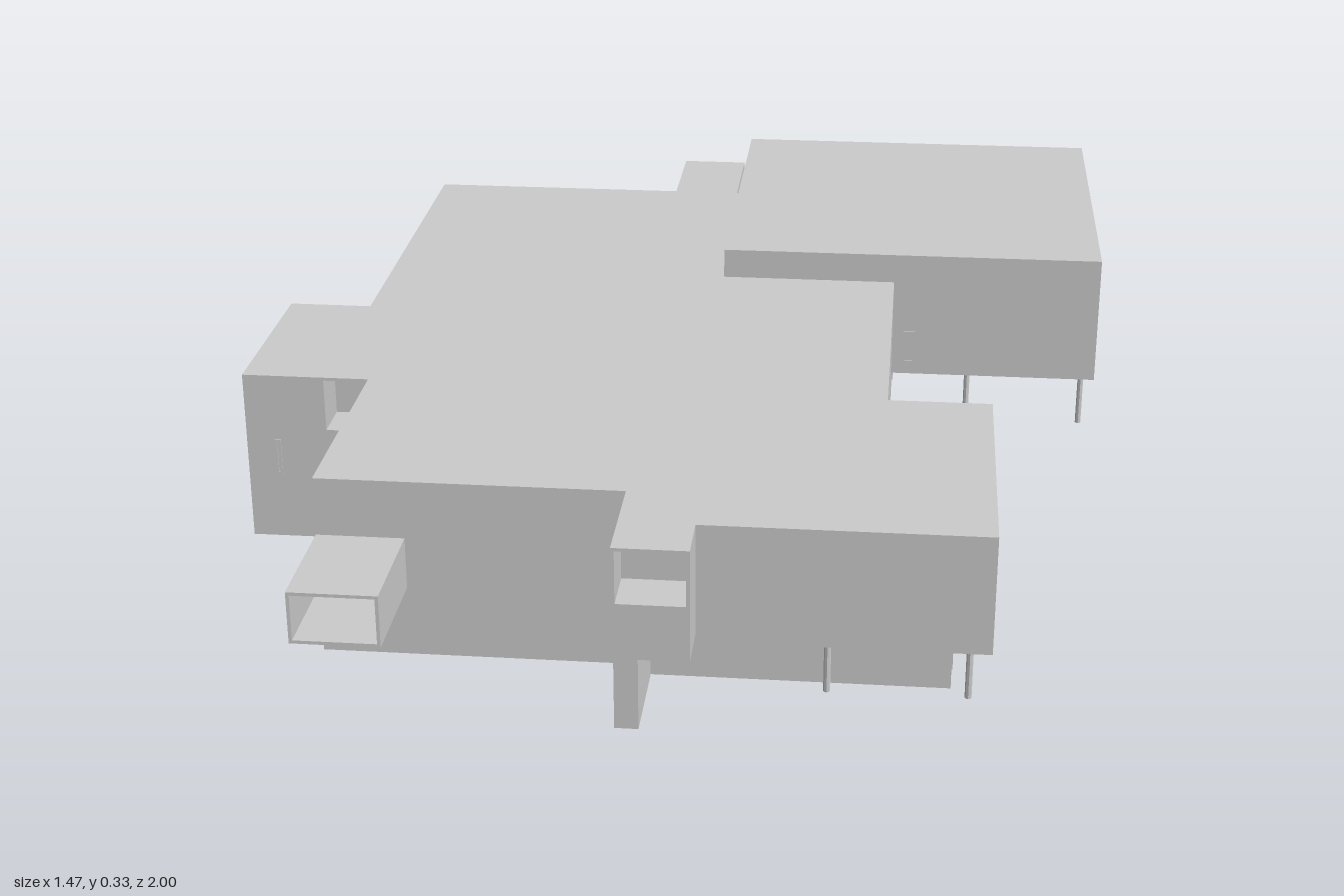
import * as THREE from 'three';

const material = new THREE.MeshStandardMaterial({ color: 0xcccccc, flatShading: true, side: THREE.DoubleSide });

export function createModel() {
  const model = new THREE.Group();
  model.name = 'building';
  // The whole plan is turned 20 degrees; parts are laid out square inside it
  const plan = new THREE.Group();
  plan.name = 'plan';
  plan.rotation.y = THREE.MathUtils.degToRad(20);
  model.add(plan);

  function add(name, geometry) {
    const mesh = new THREE.Mesh(geometry, material);
    mesh.name = name;
    plan.add(mesh);
    return mesh;
  }
  // Box given by its limits
  function box(name, x0, x1, y0, y1, z0, z1) {
    const g = new THREE.BoxGeometry(x1 - x0, y1 - y0, z1 - z0);
    g.translate((x0 + x1) / 2, (y0 + y1) / 2, (z0 + z1) / 2);
    return add(name, g);
  }
  // Storey raised from a floor outline of [x, z] corners
  function storey(name, outline, y0, y1) {
    const shape = new THREE.Shape(outline.map(([x, z]) => new THREE.Vector2(x, -z)));
    const g = new THREE.ExtrudeGeometry(shape, { depth: y1 - y0, bevelEnabled: false });
    g.rotateX(-Math.PI / 2);
    g.translate(0, y0, 0);
    return add(name, g);
  }
  // Box open towards the front, made of four thin plates and a back
  function openBox(name, x0, x1, y0, y1, z0, z1) {
    const t = 0.005;
    box(name + 'Floor', x0, x1, y0, y0 + t, z0, z1);
    box(name + 'Roof', x0, x1, y1 - t, y1, z0, z1);
    box(name + 'RightWall', x0, x0 + t, y0 + t, y1 - t, z0, z1);
    box(name + 'LeftWall', x1 - t, x1, y0 + t, y1 - t, z0, z1);
    box(name + 'BackWall', x0 + t, x1 - t, y0 + t, y1 - t, z0, z0 + t);
  }

  // Ground floor, recessed under the upper storey
  storey('groundFloor', [
    [-0.554, -0.56], [0.05, -0.56], [0.05, -0.612], [0.326, -0.612], [0.326, 0.03], [0.29, 0.03],
    [0.29, 0.38], [0.432, 0.38], [0.432, 0.73], [0.0, 0.73], [0.0, 0.882], [-0.034, 0.882],
    [-0.034, 0.703], [-0.488, 0.703], [-0.488, 0.342], [-0.69, 0.342], [-0.69, 0.03], [-0.554, 0.03],
  ], 0, 0.11);

  // Upper storey with its wings; the top half leaves a loggia at the right wing
  const sides = [
    [-0.554, 0.03], [-0.554, -0.627], [-0.101, -0.627], [-0.101, -0.819], [0.016, -0.819],
    [0.016, -0.627], [0.326, -0.627], [0.326, 0.347], [0.486, 0.347], [0.486, 0.802],
    [-0.036, 0.802], [-0.036, 0.705], [-0.488, 0.705],
  ];
  storey('upperStorey', [...sides, [-0.488, 0.342], [-0.69, 0.342], [-0.69, 0.03]], 0.11, 0.19);
  storey('topStorey', [...sides, [-0.488, 0.27], [-0.56, 0.27], [-0.56, 0.342], [-0.69, 0.342], [-0.69, 0.03]], 0.19, 0.28);
  box('loggiaRoof', -0.56, -0.488, 0.275, 0.28, 0.27, 0.342);
  box('leftWingSoffit', 0.07, 0.486, 0.098, 0.11, 0.347, 0.802);

  // Tall hall on posts
  box('hall', 0.03, 0.68, 0.11, 0.33, -0.818, -0.168);

  // Projecting boxes on the front
  openBox('balcony', -0.488, -0.358, 0.11, 0.19, 0.705, 0.882);
  box('porchBase', -0.036, 0.072, 0.11, 0.19, 0.802, 0.882);
  openBox('porchLoggia', -0.036, 0.072, 0.19, 0.28, 0.802, 0.882);

  // Posts under the hall, the left wing and the back overhang
  const posts = [
    [0.66, -0.775], [0.46, -0.775], [0.26, -0.775], [0.06, -0.775],
    [0.66, -0.505], [0.66, -0.21], [0.46, -0.21],
    [0.456, 0.77], [0.256, 0.77], [0.456, 0.57], [0.456, 0.39],
    [0.03, -0.6], [-0.11, -0.6], [-0.31, -0.6],
  ];
  for (const [x, z] of posts) {
    const g = new THREE.CylinderGeometry(0.005, 0.005, 0.1, 8);
    g.translate(x, 0.06, z);
    add('post', g);
  }

  // Windows: a frame of four bars on a wall facing sideways (x) or along z
  function windowFrame(axis, wall, a0, a1, y0, y1) {
    const t = 0.004, d = 0.002;
    const bars = [
      [a0, a1, y0, y0 + t], [a0, a1, y1 - t, y1],
      [a0, a0 + t, y0 + t, y1 - t], [a1 - t, a1, y0 + t, y1 - t],
    ];
    for (const [b0, b1, h0, h1] of bars) {
      if (axis === 'x') box('windowFrame', wall - d, wall + d, h0, h1, b0, b1);
      else box('windowFrame', b0, b1, h0, h1, wall - d, wall + d);
    }
  }
  windowFrame('x', 0.432, 0.46, 0.53, 0.02, 0.07);
  windowFrame('x', 0.432, 0.64, 0.71, 0.02, 0.07);
  windowFrame('x', 0.29, 0.05, 0.08, 0.02, 0.08);
  windowFrame('x', 0.326, -0.38, -0.35, 0.02, 0.08);
  windowFrame('z', -0.168, 0.345, 0.37, 0.13, 0.19);
  windowFrame('z', -0.56, -0.25, -0.22, 0.02, 0.08);
  windowFrame('z', 0.342, -0.645, -0.635, 0.11, 0.17);
  for (let i = 0; i < 4; i++) {
    const z = -0.58 + i * 0.14;
    windowFrame('x', -0.554, z, z + 0.12, 0.12, 0.18);
    windowFrame('x', -0.554, z + 0.04, z + 0.09, 0.01, 0.09);
  }
  for (const y of [0.03, 0.08, 0.13]) windowFrame('x', -0.69, 0.07, 0.12, y, y + 0.04);
  windowFrame('x', -0.69, 0.2, 0.28, 0.12, 0.18);

  return model;
}
